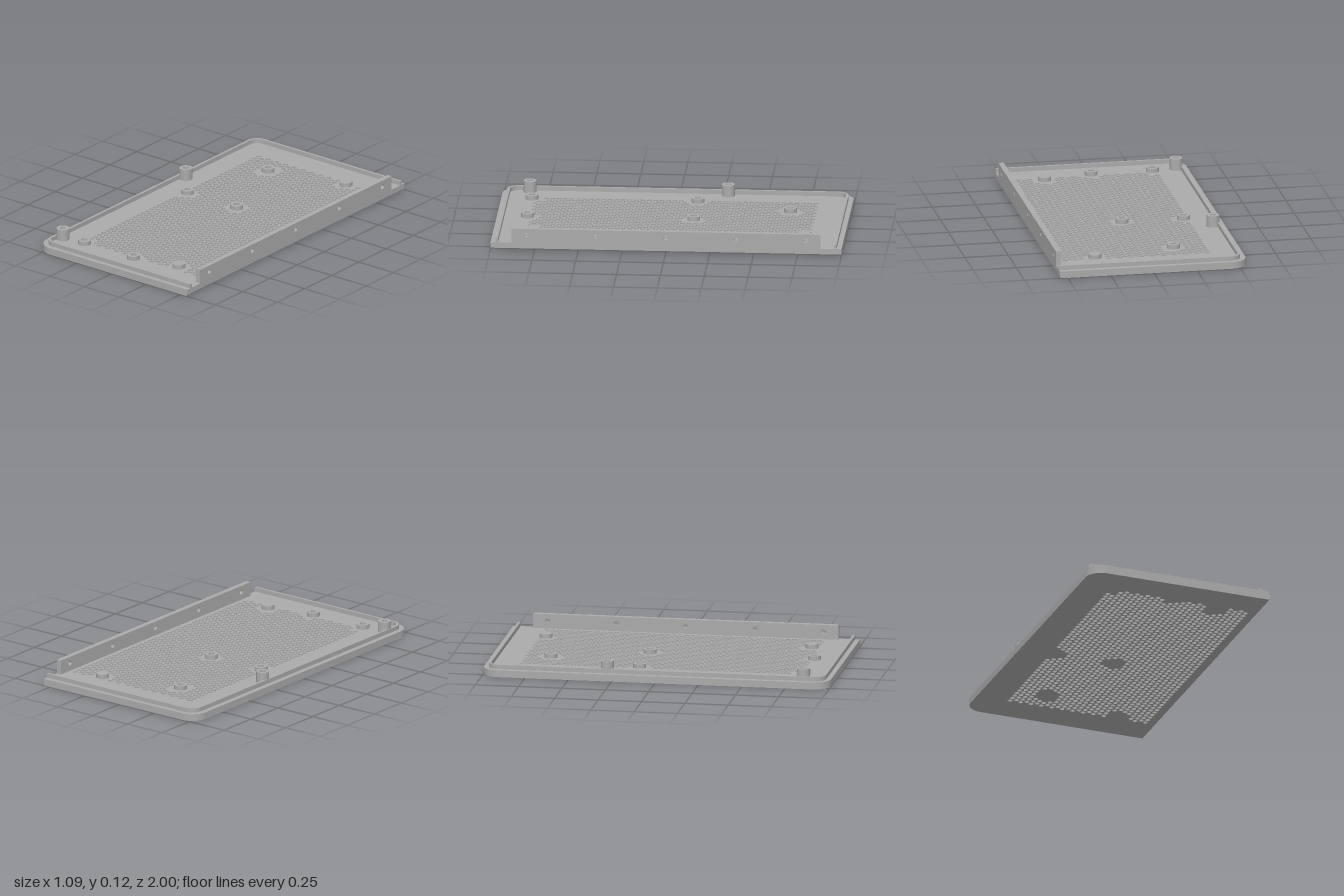
import * as THREE from 'three';
import { toCreasedNormals } from 'three/addons/utils/BufferGeometryUtils.js';

const FLOOR = 0.04, RIM_TOP = 0.065, EDGE_X = 0.545, CHAMFER = 0.008;

// Short hollow bosses, solid pads and tall posts as [x, z]
const BOSSES = [[-0.175, -0.66], [-0.335, -0.122], [0.02, -0.122], [-0.335, 0.825], [0.02, 0.825]];
const PADS = [[0.3, -0.77], [0.3, 0.765]];
const POSTS = [[-0.475, -0.285], [-0.475, 0.845]];

function circle(x, y, r, sides) {
  const pts = [];
  for (let i = 0; i < sides; i++) {
    const a = (i / sides) * Math.PI * 2;
    pts.push(new THREE.Vector2(x + r * Math.cos(a), y + r * Math.sin(a)));
  }
  return pts;
}

// Outline from the back right, round the two left corners, to the front right
function outline(left, half, right, r) {
  const pts = [new THREE.Vector2(right, half)];
  for (const [cy, start] of [[half - r, Math.PI / 2], [r - half, Math.PI]]) {
    for (let i = 0; i <= 10; i++) {
      const a = start + (i / 10) * Math.PI / 2;
      pts.push(new THREE.Vector2(left + r + r * Math.cos(a), cy + r * Math.sin(a)));
    }
  }
  pts.push(new THREE.Vector2(right, -half));
  return pts;
}

function extrude(shape, depth) {
  return new THREE.ExtrudeGeometry(shape, { depth, bevelEnabled: false, steps: 1 });
}

// Extrude a plan drawn as (x, -z) upwards from y0 to y1
function slab(shape, y0, y1) {
  const geo = extrude(shape, y1 - y0).rotateX(-Math.PI / 2).translate(0, y0, 0);
  return toCreasedNormals(geo, 0.7);
}

export function createModel() {
  const group = new THREE.Group();
  const grey = new THREE.MeshStandardMaterial({ color: 0xaaaaaa });
  grey.name = 'grey';
  const add = (name, geo) => {
    const mesh = new THREE.Mesh(geo, grey);
    mesh.name = name;
    group.add(mesh);
    return mesh;
  };

  // Base plate with staggered ventilation holes, left solid around the bosses
  const plate = new THREE.Shape(outline(-0.545, 1, EDGE_X - CHAMFER, 0.095));
  const solid = [...BOSSES, ...PADS];
  const pitch = 0.0366, columnStep = pitch * Math.sqrt(3) / 2;
  for (let c = 0; c < 27; c++) {
    for (let k = 0; k < 44; k++) {
      const x = -0.347 + c * columnStep;
      const z = -0.795 + (k + (c % 2) / 2) * pitch;
      if (solid.some(([bx, bz]) => Math.hypot(x - bx, z - bz) < 0.068)) continue;
      plate.holes.push(new THREE.Path(circle(x, -z, 0.0145, 10)));
    }
  }
  add('basePlate', slab(plate, 0, FLOOR));

  // Right edge of the plate, chamfered underneath
  const inner = EDGE_X - CHAMFER;
  const edge = new THREE.Shape([[inner, 0], [EDGE_X, CHAMFER], [EDGE_X, FLOOR], [inner, FLOOR]]
    .map(([x, y]) => new THREE.Vector2(x, y)));
  add('chamferedEdge', extrude(edge, 2).translate(0, 0, -1));

  // Raised rim around three sides
  const rim = new THREE.Shape([
    ...outline(-0.514, 0.972, EDGE_X, 0.065),
    ...outline(-0.499, 0.957, EDGE_X, 0.05).reverse(),
  ]);
  add('rim', slab(rim, FLOOR, RIM_TOP));

  // Upright flange with five screw holes, drawn as (-z, y)
  const flange = new THREE.Shape([[-0.88, FLOOR], [0.88, FLOOR], [0.88, 0.123], [-0.88, 0.123]]
    .map(([x, y]) => new THREE.Vector2(x, y)));
  for (const z of [-0.795, -0.4, 0, 0.4, 0.795]) {
    flange.holes.push(new THREE.Path(circle(z, 0.085, 0.014, 16)));
  }
  const flangeGeo = extrude(flange, 0.03).rotateY(Math.PI / 2).translate(EDGE_X - 0.03, 0, 0);
  add('flange', toCreasedNormals(flangeGeo, 0.7));

  // Bosses, pads and posts standing on the floor
  const stud = (name, list, top, hollow) => {
    for (const [x, z] of list) {
      const shape = new THREE.Shape(circle(0, 0, 0.037, 32));
      if (hollow) shape.holes.push(new THREE.Path(circle(0, 0, 0.018, 24)));
      add(name, slab(shape, FLOOR, top)).position.set(x, 0, z);
    }
  };
  stud('boss', BOSSES, RIM_TOP, true);
  stud('pad', PADS, RIM_TOP, false);
  stud('post', POSTS, 0.107, true);

  return group;
}
